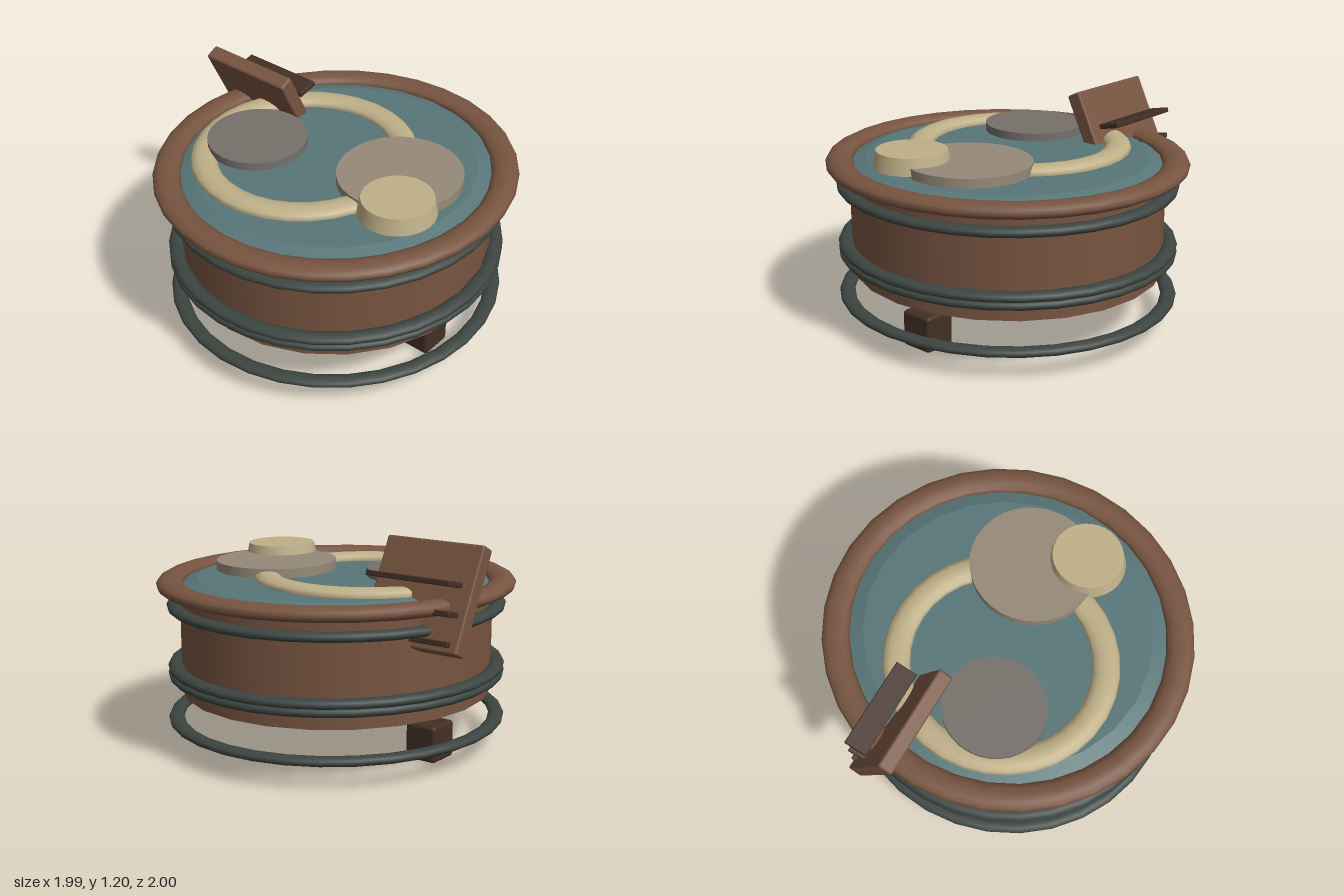
import * as THREE from 'three';
import { RoundedBoxGeometry } from 'three/addons/geometries/RoundedBoxGeometry.js';

const paint = (name, color) => {
  const m = new THREE.MeshStandardMaterial({ color });
  m.name = name;
  return m;
};

export function createModel() {
  const wood = paint('brown wood', 0x775440);
  const darkWood = paint('dark wood', 0x422f24);
  const iron = paint('dark iron', 0x3c4541);
  const water = paint('teal water', 0x587678);
  const cream = paint('cream', 0xbfb088);
  const slate = paint('grey', 0x75706a);
  const taupe = paint('taupe', 0x968a79);

  const model = new THREE.Group();
  model.name = 'tub';
  const CX = 0.022;  // tub axis
  const SX = 0.97;   // the round parts are slightly narrower in x

  const add = (name, geometry, material, x, y, z) => {
    const mesh = new THREE.Mesh(geometry, material);
    mesh.name = name;
    mesh.position.set(x, y, z);
    model.add(mesh);
    return mesh;
  };
  // Flattened horizontal ring
  const ring = (name, material, radius, tube, halfHeight, x, y, z) => {
    const g = new THREE.TorusGeometry(radius, tube, 12, 32).rotateX(Math.PI / 2);
    g.scale(SX, halfHeight / tube, 1);
    return add(name, g, material, x, y, z);
  };
  // Upright disc between two heights
  const disc = (name, material, top, bottom, y0, y1, x, z, sides = 32) => {
    const g = new THREE.CylinderGeometry(top, bottom, y1 - y0, sides);
    g.scale(SX, 1, 1);
    return add(name, g, material, x, (y0 + y1) / 2, z);
  };
  const box = (name, material, w, h, d, bevel, x, y, z) =>
    add(name, new RoundedBoxGeometry(w, h, d, 2, bevel), material, x, y, z);

  // Tub body, rim and water
  disc('barrel', wood, 0.87, 0.87, 0.3, 0.885, CX, 0, 24);
  ring('rim', wood, 0.923, 0.075, 0.04, CX, 0.895, 0);
  disc('water', water, 0.775, 0.87, 0.89, 0.92, CX, 0, 24);

  // Hoops, the lowest one hanging free below the barrel
  for (const y of [0.778, 0.442, 0.402]) ring('hoop', iron, 0.902, 0.043, 0.027, CX, y, 0);
  ring('lowerHoop', iron, 0.907, 0.043, 0.025, CX, 0.15, 0);

  // Feet
  for (const x of [-0.605, 0.652]) box('foot', darkWood, 0.185, 0.2, 0.19, 0.02, x, 0.1, 0.003);

  // Floating ring, discs and cup
  ring('floatingRing', cream, 0.555, 0.073, 0.04, -0.148, 0.925, 0.06);
  disc('greyDisc', slate, 0.278, 0.278, 0.94, 0.985, -0.397, 0.167);
  disc('taupeDisc', taupe, 0.342, 0.342, 0.925, 0.976, 0.4, -0.067);
  disc('cup', cream, 0.192, 0.21, 0.935, 1.025, 0.57, 0.175);

  // Leaning back panel with slats behind it
  box('panel', wood, 0.58, 0.56, 0.085, 0.012, -0.71, 0.93, -0.218).rotation.x = 0.45;
  for (let i = 0; i < 3; i++) {
    box('slat', darkWood, 0.495, 0.028, 0.125, 0.005, -0.708, 1.028 - i * 0.15, -0.32).rotation.x = 0.22;
  }
  return model;
}
